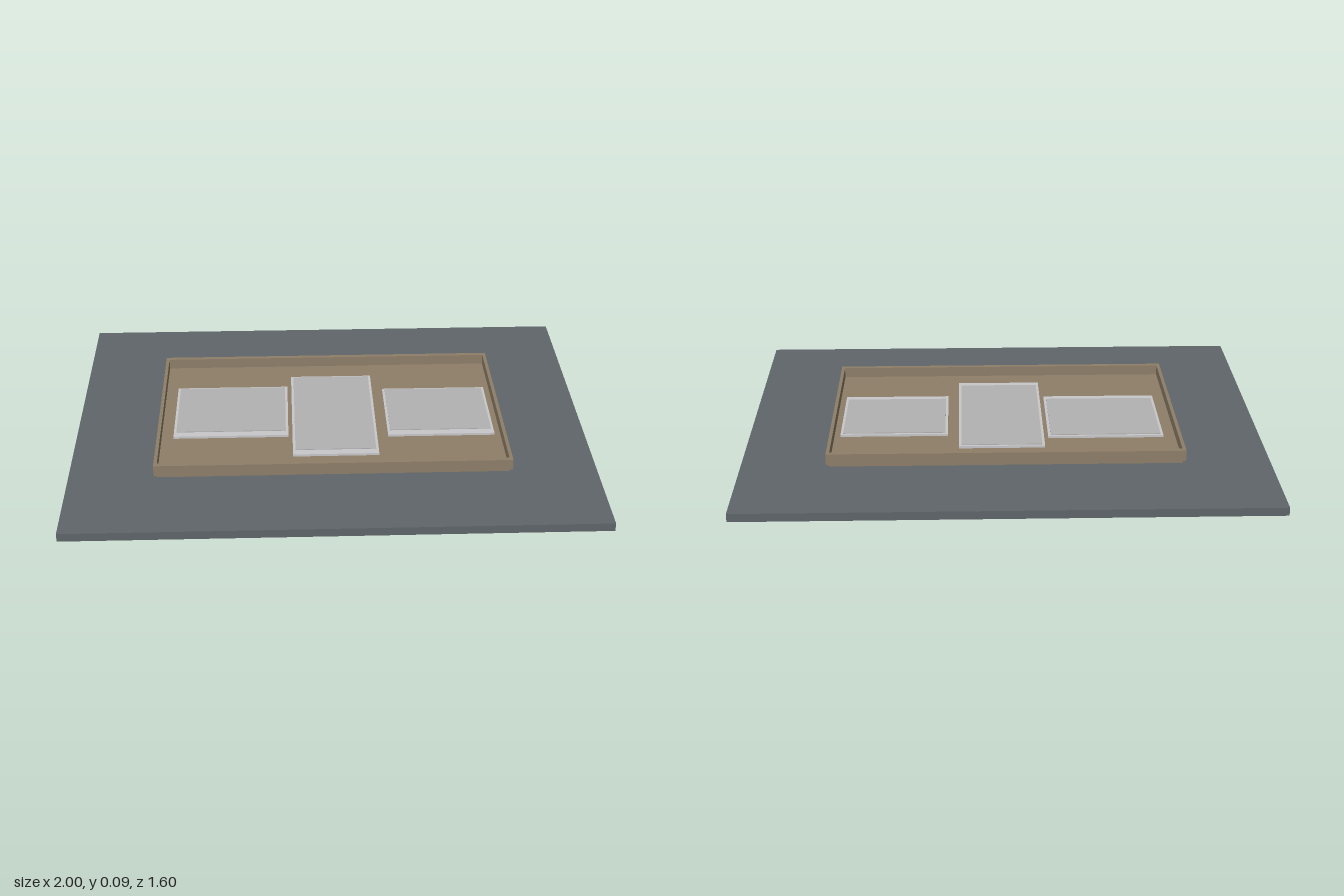
import * as THREE from 'three';

const slate = new THREE.MeshStandardMaterial({ name: 'slate', color: 0x5f666a });
const tan = new THREE.MeshStandardMaterial({ name: 'tan', color: 0x8f7f69 });
const lightGrey = new THREE.MeshStandardMaterial({ name: 'lightGrey', color: 0xc8c8ca });
const grey = new THREE.MeshStandardMaterial({ name: 'grey', color: 0xb2b2b2 });

// Box given by its limits on each axis
function slab(name, material, [x0, x1], [y0, y1], [z0, z1]) {
  const mesh = new THREE.Mesh(new THREE.BoxGeometry(x1 - x0, y1 - y0, z1 - z0), material);
  mesh.name = name;
  mesh.position.set((x0 + x1) / 2, (y0 + y1) / 2, (z0 + z1) / 2);
  return mesh;
}

function rectangle(Type, x, z) {
  return new Type([[-x, -z], [x, -z], [x, z], [-x, z]].map(([a, b]) => new THREE.Vector2(a, b)));
}

export function createModel() {
  const model = new THREE.Group();
  model.name = 'trayOnBase';

  // Wide base and the raised floor of the tray
  model.add(slab('base', slate, [-1, 1], [0, 0.032], [-0.8, 0.8]));
  model.add(slab('trayFloor', tan, [-0.668, 0.668], [0.032, 0.049], [-0.421, 0.429]));

  // Low rim around the tray
  const outline = rectangle(THREE.Shape, 0.677, 0.441);
  outline.holes.push(rectangle(THREE.Path, 0.664, 0.422));
  const rimGeometry = new THREE.ExtrudeGeometry(outline, { depth: 0.043, bevelEnabled: false });
  rimGeometry.rotateX(-Math.PI / 2);
  const rim = new THREE.Mesh(rimGeometry, tan);
  rim.name = 'trayRim';
  rim.position.set(0, 0.047, 0.004);
  model.add(rim);

  // Three pale panels, each with a narrow border that is wider at the front
  const panels = [
    ['rightPanel', [-0.617, -0.168], [-0.222, 0.174]],
    ['middlePanel', [-0.152, 0.179], [-0.307, 0.324]],
    ['leftPanel', [0.222, 0.64], [-0.19, 0.185]],
  ];
  for (const [name, x, z] of panels) {
    const panel = new THREE.Group();
    panel.name = name;
    panel.add(slab('panelBorder', lightGrey, x, [0.049, 0.058], z));
    panel.add(slab('panelFace', grey, [x[0] + 0.01, x[1] - 0.01], [0.058, 0.061], [z[0] + 0.01, z[1] - 0.033]));
    model.add(panel);
  }
  return model;
}
